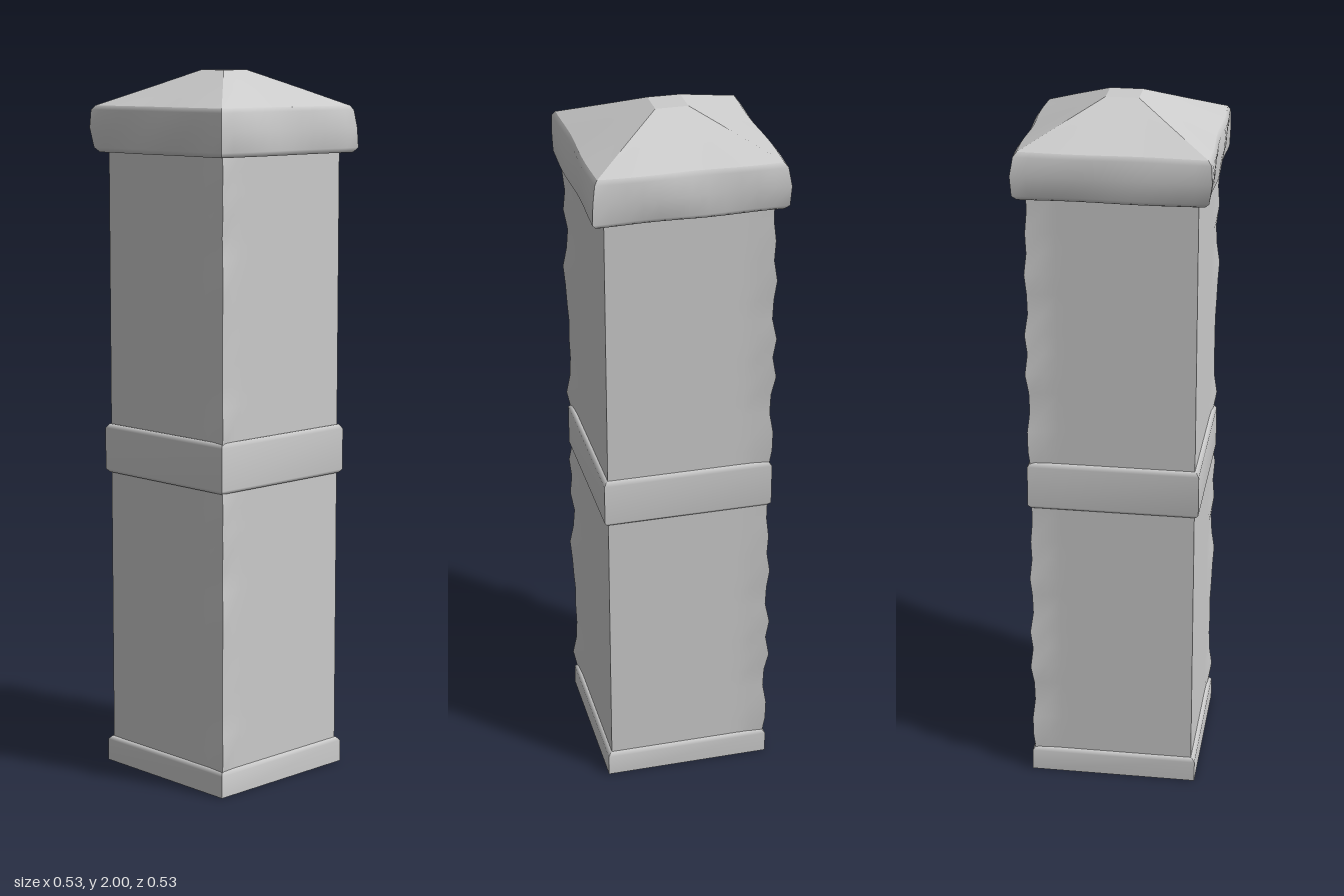
import * as THREE from 'three';

const stone = new THREE.MeshStandardMaterial({ color: 0xcccccc, side: THREE.DoubleSide });

// Square section swept through [halfWidth, y] rings. Each side is its own smooth patch,
// so the four corners stay sharp. warp(p) may move a point, seen by both sides alike.
function squareLoft(name, rings, columns = 1, warp = null) {
  const group = new THREE.Group();
  group.name = name;
  for (let s = 0; s < 4; s++) {
    const pos = [], index = [];
    rings.forEach(([h, y], r) => {
      for (let c = 0; c <= columns; c++) {
        const p = new THREE.Vector3(h * (2 * c / columns - 1), y, h);
        p.applyAxisAngle(new THREE.Vector3(0, 1, 0), s * Math.PI / 2);
        if (warp) warp(p, h);
        pos.push(p.x, p.y, p.z);
        if (r > 0 && c < columns) {
          const b = r * (columns + 1) + c, a = b - columns - 1;
          index.push(a, a + 1, b + 1, a, b + 1, b);
        }
      }
    });
    const geo = new THREE.BufferGeometry();
    geo.setAttribute('position', new THREE.Float32BufferAttribute(pos, 3));
    geo.setIndex(index);
    geo.computeVertexNormals();
    const mesh = new THREE.Mesh(geo, stone);
    mesh.name = name + 'Side' + (s + 1);
    group.add(mesh);
  }
  return group;
}

// Chipped outline along two opposite corners of the shaft, bottom to top
const chips = [0.004, 0.012, 0.013, 0.004, 0.006, 0.017, 0.008, 0.016, 0.005, 0.007, 0.014, 0.006, 0.009, 0.003, 0.004];

function shaft(name, y0, y1) {
  const n = chips.length - 1;
  const rings = chips.map((_, i) => [0.228, y0 + (y1 - y0) * i / n]);
  return squareLoft(name, rings, 12, (p, h) => {
    const i = Math.round((p.y - y0) / (y1 - y0) * n);
    const near = Math.max(0, Math.min(Math.abs(p.x), Math.abs(p.z)) / h - 0.8) / 0.2;
    if (p.x * p.z < 0 && near > 0) {
      const d = near * chips[p.x > 0 ? i : (i * 4 + 3) % chips.length];
      p.x += Math.sign(p.x) * d * 0.7;
      p.z += Math.sign(p.z) * d;
    }
  });
}

export function createModel() {
  const model = new THREE.Group();
  model.name = 'stonePillar';

  // Open-bottomed plinth with a flat rim underneath
  model.add(squareLoft('base', [[0.195, 0.02], [0.195, 0], [0.195, 0], [0.24, 0]]));
  model.add(squareLoft('baseWall', [[0.24, 0], [0.24, 0.062], [0.232, 0.072], [0.215, 0.072]]));

  // Two matching shaft sections
  model.add(shaft('lowerShaft', 0.06, 0.87));
  model.add(shaft('upperShaft', 0.98, 1.79));

  // Bevelled band between the sections
  model.add(squareLoft('middleBand',
    [[0.2, 0.86], [0.232, 0.86], [0.24, 0.87], [0.24, 0.988], [0.232, 1], [0.2, 1]]));

  // Worn cap: rim, hipped slopes and a small flat top
  const worn = (p, h) => {
    if (h < 0.24) return;
    const wave = Math.sin(p.x * 17 + p.y * 23) + Math.sin(p.z * 21 - p.y * 31 + 1);
    const k = 1 + 0.011 * wave;
    p.x *= k;
    p.z *= k;
  };
  model.add(squareLoft('capRim',
    [[0.2, 1.772], [0.25, 1.772], [0.26, 1.785], [0.263, 1.84], [0.261, 1.89], [0.252, 1.902]], 12, worn));
  model.add(squareLoft('capSlopes', [[0.252, 1.902], [0.15, 1.95], [0.045, 2]], 12, worn));
  const top = new THREE.Mesh(new THREE.PlaneGeometry(0.09, 0.09), stone);
  top.name = 'capTop';
  top.rotation.x = -Math.PI / 2;
  top.position.y = 2;
  model.add(top);

  return model;
}
